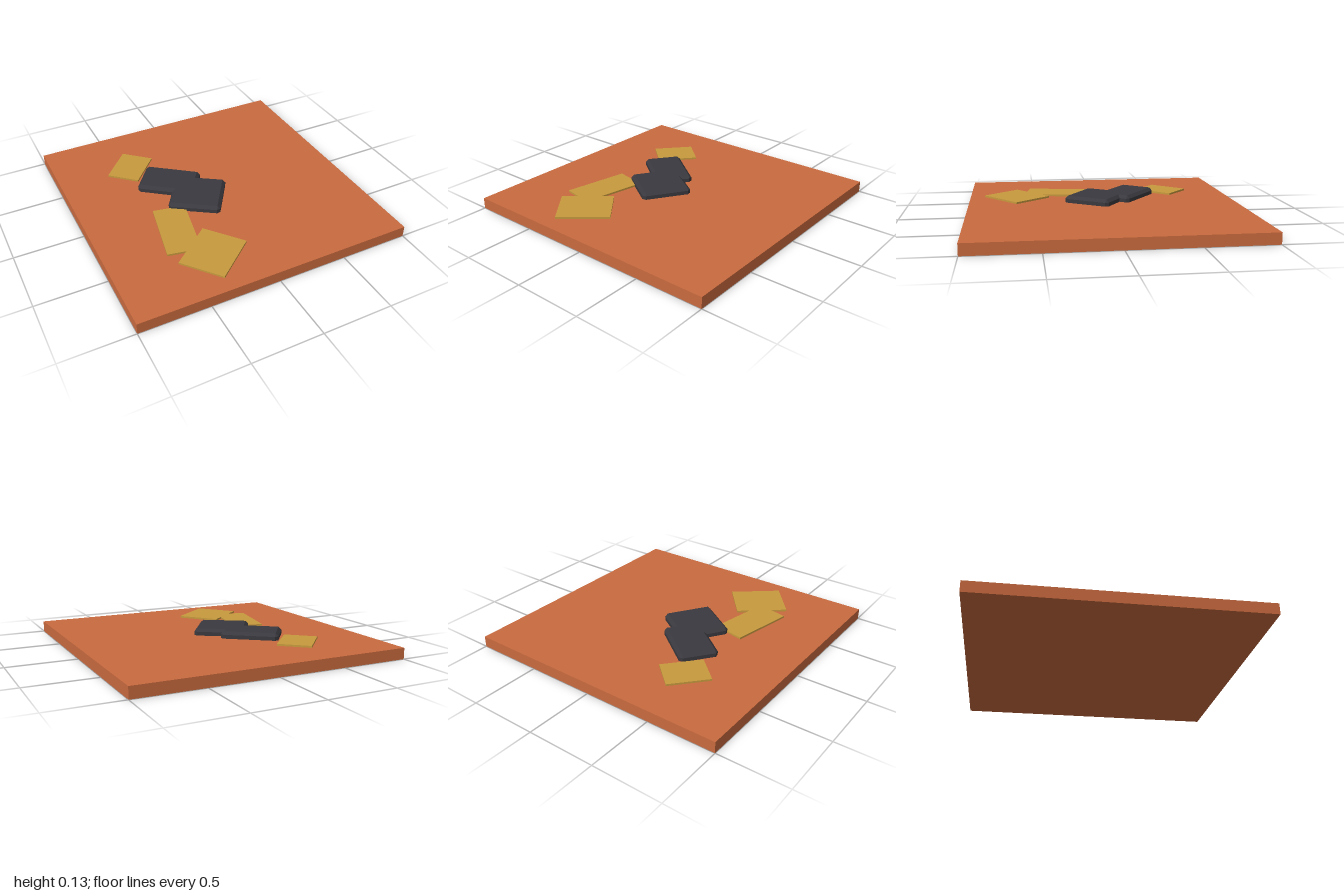
import * as THREE from 'three';
import { ConvexGeometry } from 'three/addons/geometries/ConvexGeometry.js';

const material = (name, color) => {
  const m = new THREE.MeshStandardMaterial({ color });
  m.name = name;
  return m;
};

// Slab with bevelled top rim and cut vertical corners, standing on y = 0
function bevelledSlab(width, height, depth, bevel) {
  const points = [];
  const w = width / 2, d = depth / 2, b = bevel;
  for (const sx of [-1, 1]) for (const sz of [-1, 1]) {
    points.push(new THREE.Vector3(sx * (w - b), height, sz * (d - b)));
    for (const y of [0, height - b]) {
      points.push(new THREE.Vector3(sx * w, y, sz * (d - b)));
      points.push(new THREE.Vector3(sx * (w - b), y, sz * d));
    }
  }
  return new ConvexGeometry(points);
}

export function createModel() {
  const group = new THREE.Group();
  const clay = material('terracotta', 0xc96a3e);
  const ochre = material('ochre', 0xc89a3e);
  const charcoal = material('charcoal', 0x3a393f);
  const top = 0.08;

  const add = (name, geometry, mat, x, y, z, degrees = 0) => {
    const mesh = new THREE.Mesh(geometry, mat);
    mesh.name = name;
    mesh.position.set(x, y, z);
    mesh.rotation.y = THREE.MathUtils.degToRad(degrees);
    group.add(mesh);
  };

  // Square ground tile
  add('ground', new THREE.BoxGeometry(2, top, 2), clay, 0, top / 2, 0);

  // Flat paths and yards: name, width, depth, x, z, turn
  const t = 0.014;
  for (const [name, w, d, x, z, turn] of [
    ['backYard', 0.243, 0.307, -0.443, -0.526, -42],
    ['path', 0.235, 0.48, -0.433, 0.322, -11.3],
    ['frontYard', 0.327, 0.38, -0.31, 0.642, -50.5],
  ]) add(name, new THREE.BoxGeometry(w, t, d), ochre, x, top + t / 2, z, turn);

  // Two overlapping bevelled slabs
  add('backSlab', bevelledSlab(0.42, 0.05, 0.28, 0.022), charcoal, -0.253, top, -0.203, -37.4);
  add('frontSlab', bevelledSlab(0.375, 0.05, 0.365, 0.022), charcoal, -0.132, top, 0.035, -33.7);

  return group;
}
